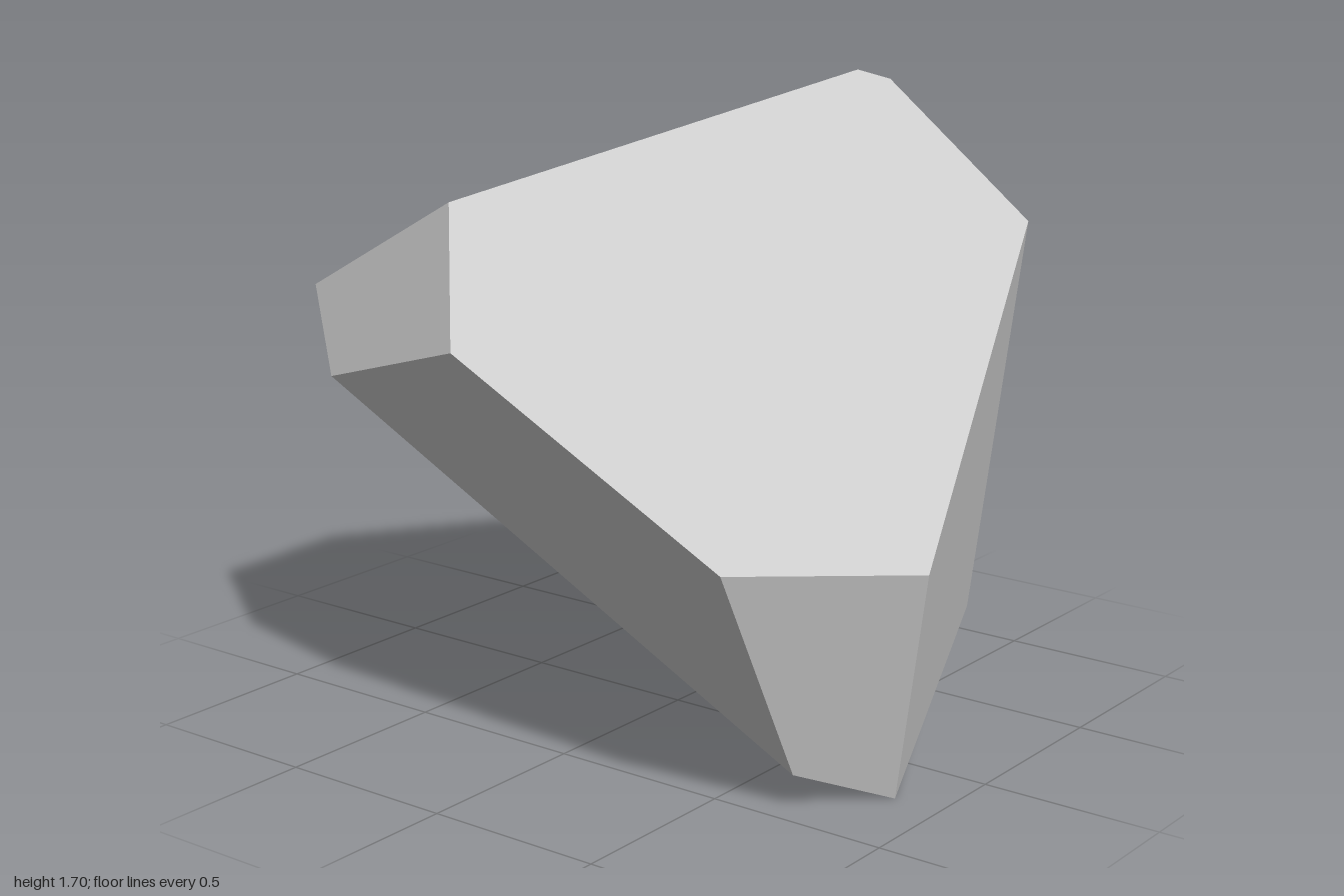
import * as THREE from 'three';

// Corners of the faceted boulder
const P = {
  backLow: [-0.55, 0.91, -0.74],
  backRidge: [-0.04, 1.641, -0.787],
  tipBack: [0.04, 1.683, -0.785],
  tip: [0.085, 1.705, -0.73],
  tipRight: [0.165, 1.68, -0.777],
  rightTop: [0.66, 1.335, -0.72],
  rightMid: [1.0, 0.65, 0.3],
  frontRight: [0.657, 0.68, 0.693],
  frontMid: [-0.12, 1.135, 0.78],
  frontLow: [-0.72, 0.95, 0.6],
  leftFront: [-1.0, 1.129, 0.37],
  leftTop: [-0.388, 1.445, 0.48],
  leftBack: [-0.99, 1.142, -0.105],
  footFront: [0.7, 0.098, 0.44],
  foot: [0.865, 0.003, 0.22],
  footBack: [0.565, 0.232, -0.612],
};

// Flat facets, each a loop of corners
const FACETS = [
  ['tip', 'leftTop', 'frontMid', 'frontRight', 'rightMid', 'rightTop', 'tipRight'],
  ['tip', 'tipBack', 'backRidge', 'leftBack', 'leftFront', 'leftTop'],
  ['leftTop', 'leftFront', 'frontLow', 'frontMid'],
  ['frontMid', 'frontLow', 'footFront', 'frontRight'],
  ['frontRight', 'footFront', 'foot', 'rightMid'],
  ['rightMid', 'foot', 'footBack', 'rightTop'],
  ['rightTop', 'footBack', 'backLow', 'backRidge', 'tipBack', 'tipRight'],
  ['backRidge', 'backLow', 'leftBack'],
  ['tip', 'tipRight', 'tipBack'],
  ['foot', 'footFront', 'frontLow', 'leftFront', 'leftBack', 'backLow', 'footBack'],
];

function facetedSolid(points, facets) {
  const vec = (name) => new THREE.Vector3(...points[name]);
  const names = Object.keys(points);
  const centre = names.reduce((s, n) => s.add(vec(n)), new THREE.Vector3()).divideScalar(names.length);
  const positions = [], normals = [];

  for (const facet of facets) {
    let loop = facet.map(vec);
    // One shared normal per facet, summed over its edges
    const normal = new THREE.Vector3();
    loop.forEach((v, i) => normal.add(v.clone().cross(loop[(i + 1) % loop.length])));
    normal.normalize();
    // Turn the loop outward
    if (normal.dot(loop[0].clone().sub(centre)) < 0) {
      normal.negate();
      loop = loop.reverse();
    }
    for (let i = 1; i < loop.length - 1; i++) {
      for (const v of [loop[0], loop[i], loop[i + 1]]) {
        positions.push(v.x, v.y, v.z);
        normals.push(normal.x, normal.y, normal.z);
      }
    }
  }
  const geometry = new THREE.BufferGeometry();
  geometry.setAttribute('position', new THREE.Float32BufferAttribute(positions, 3));
  geometry.setAttribute('normal', new THREE.Float32BufferAttribute(normals, 3));
  return geometry;
}

export function createModel() {
  const group = new THREE.Group();
  group.name = 'boulder';
  const rock = new THREE.Mesh(
    facetedSolid(P, FACETS),
    new THREE.MeshStandardMaterial({ color: 0xcccccc })
  );
  rock.name = 'rock';
  group.add(rock);
  return group;
}
